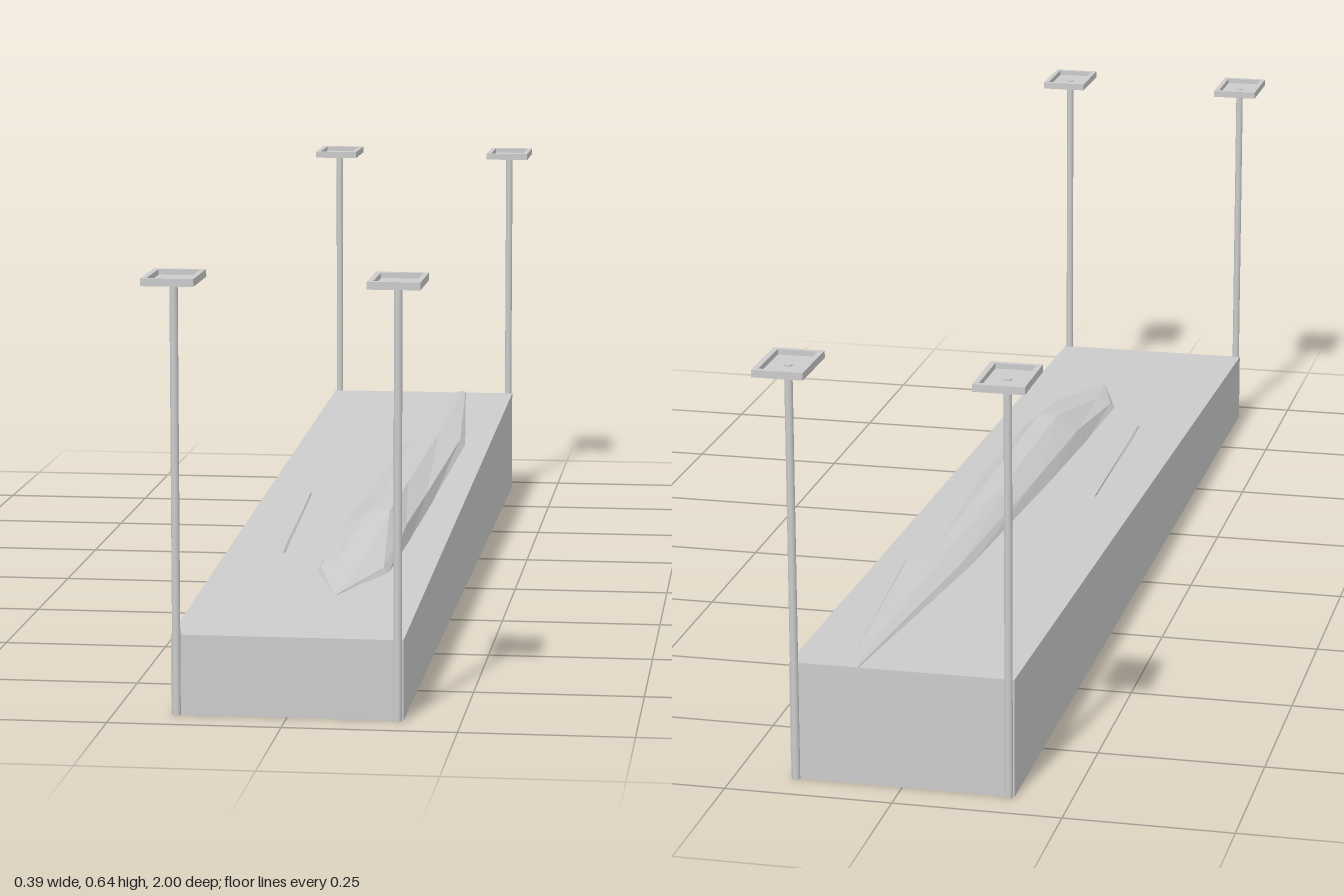
import * as THREE from 'three';

const material = new THREE.MeshStandardMaterial({ color: 0xcccccc, flatShading: true, side: THREE.DoubleSide });
const smooth = new THREE.MeshStandardMaterial({ color: 0xcccccc });

const HALF_X = 0.167, HALF_Z = 0.94;
const slopeY = (z) => 0.1485 - 0.0335 * z;

function add(parent, name, geometry, mat = material) {
  const mesh = new THREE.Mesh(geometry, mat);
  mesh.name = name;
  parent.add(mesh);
  return mesh;
}

// Skin a series of open cross-sections that have equal point counts
function loft(sections) {
  const n = sections[0].length, index = [];
  for (let i = 0; i < sections.length - 1; i++) {
    for (let j = 0; j < n - 1; j++) {
      const a = i * n + j, b = a + n;
      index.push(a, a + 1, b, a + 1, b + 1, b);
    }
  }
  const geometry = new THREE.BufferGeometry();
  geometry.setAttribute('position', new THREE.Float32BufferAttribute(sections.flat(2), 3));
  geometry.setIndex(index);
  geometry.computeVertexNormals();
  return geometry;
}

// Hanger: rod plus a shallow rimmed plate at its top
function createHanger(sx, sz) {
  const hanger = new THREE.Group();
  hanger.name = 'hanger';
  const rod = add(hanger, 'rod', new THREE.CylinderGeometry(0.006, 0.006, 0.63, 16), smooth);
  rod.position.y = 0.315;

  const w = 0.0375, d = 0.0575, rim = 0.008;
  const outline = new THREE.Shape([[-w, -d], [w, -d], [w, d], [-w, d]].map((p) => new THREE.Vector2(...p)));
  const a = w - rim, b = d - rim;
  outline.holes.push(new THREE.Path([[-a, -b], [-a, b], [a, b], [a, -b]].map((p) => new THREE.Vector2(...p))));
  const rimGeometry = new THREE.ExtrudeGeometry(outline, { depth: 0.011, bevelEnabled: false });
  rimGeometry.rotateX(-Math.PI / 2);
  add(hanger, 'plateRim', rimGeometry).position.y = 0.625;
  add(hanger, 'plateFloor', new THREE.BoxGeometry(2 * a, 0.003, 2 * b)).position.y = 0.6265;

  hanger.position.set(sx * 0.159, 0, sz * 0.9415);
  return hanger;
}

export function createModel() {
  const model = new THREE.Group();
  model.name = 'suspendedRidgeBlock';

  // Wedge block, taller at the back
  const side = new THREE.Shape();
  side.moveTo(-HALF_Z, 0);
  side.lineTo(HALF_Z, 0);
  side.lineTo(HALF_Z, slopeY(-HALF_Z));
  side.lineTo(-HALF_Z, slopeY(HALF_Z));
  const block = new THREE.ExtrudeGeometry(side, { depth: 2 * HALF_X, bevelEnabled: false });
  block.translate(0, 0, -HALF_X).rotateY(Math.PI / 2);
  add(model, 'block', block);

  // Ridge stations: z, left edge, right edge, left crest, right crest, crest height
  const stations = [
    [0.68, 0.035, 0.04, 0.037, 0.038, 0.127],
    [0.53, -0.012, 0.1, 0.02, 0.06, 0.147],
    [0.3, -0.008, 0.108, 0.043, 0.075, 0.183],
    [0.04, 0.0, 0.115, 0.045, 0.076, 0.183],
    [-0.45, 0.02, 0.125, 0.058, 0.078, 0.183],
    [-0.94, 0.062, 0.08, 0.068, 0.073, 0.183],
  ];
  const ridge = stations.map(([z, left, right, crestL, crestR, top]) => {
    const base = slopeY(z), shoulder = base + (top - base) * 0.5;
    return [
      [left, base - 0.001, z],
      [left + (crestL - left) * 0.25, shoulder, z],
      [crestL, top, z],
      [crestR, top, z],
      [right - (right - crestR) * 0.2, shoulder, z],
      [right, base - 0.001, z],
    ];
  });
  add(model, 'ridge', loft(ridge));

  // Thin sliver breaking through the slope beside the ridge
  const sliver = [[0.42, -0.077, 0.003], [0.3, -0.082, 0.004], [-0.02, -0.092, 0.0005]].map(([z, x, w]) => [
    [x - w, slopeY(z) - 0.001, z],
    [x, slopeY(z) + 0.003, z],
    [x + w, slopeY(z) - 0.001, z],
  ]);
  add(model, 'sliver', loft(sliver));

  // Four corner hangers
  for (const sx of [-1, 1]) for (const sz of [-1, 1]) model.add(createHanger(sx, sz));

  return model;
}
